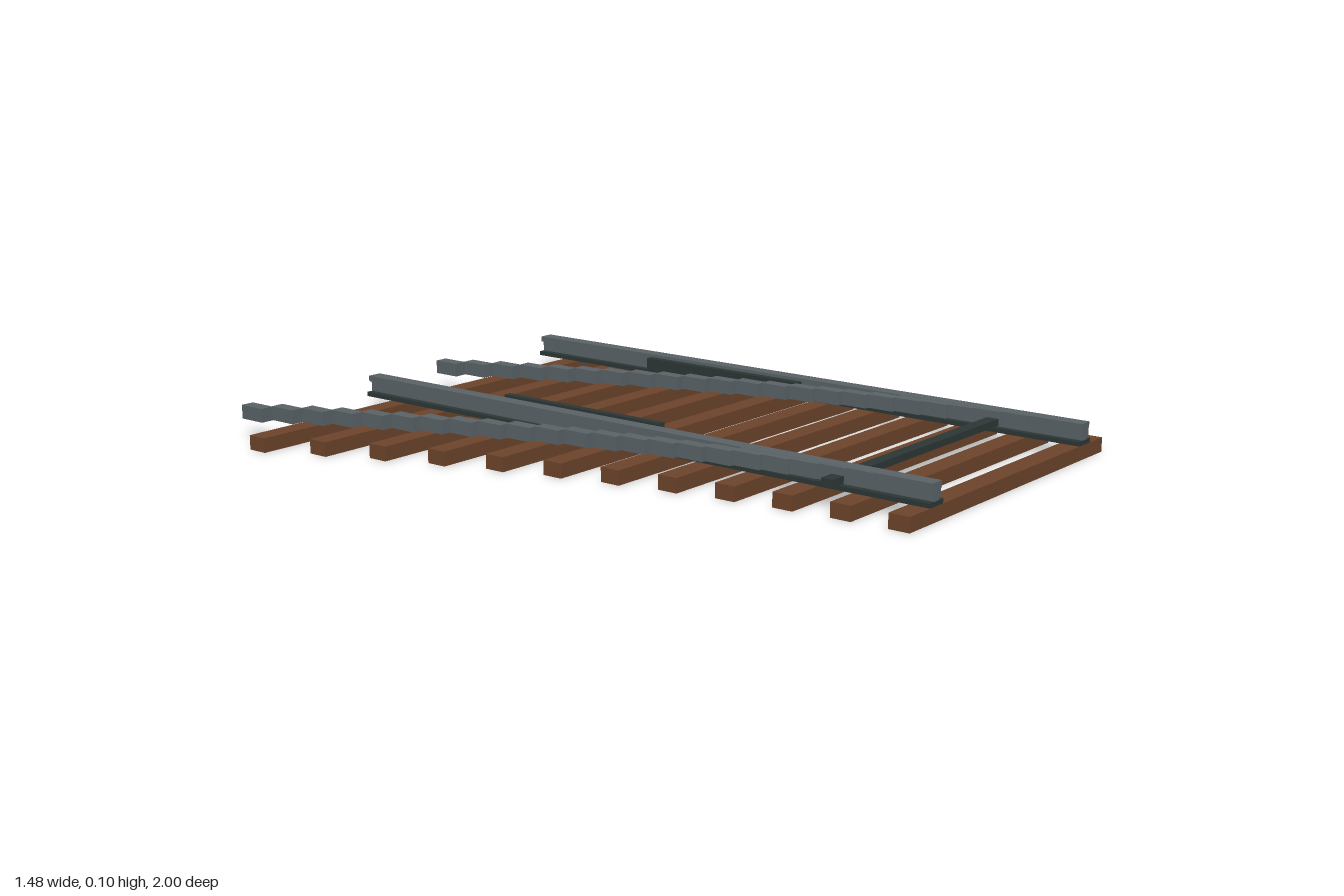
import * as THREE from 'three';

export function createModel() {
  const model = new THREE.Group();
  model.name = 'railwaySwitch';

  const mat = (name, color) => {
    const m = new THREE.MeshStandardMaterial({ color });
    m.name = name;
    return m;
  };
  const wood = mat('sleeperBrown', 0x6b432a);
  const steel = mat('railGrey', 0x596165);
  const dark = mat('darkSteel', 0x2b3634);

  // Box given by its minimum and maximum on each axis
  const box = (parent, name, material, x0, x1, y0, y1, z0, z1) => {
    const mesh = new THREE.Mesh(new THREE.BoxGeometry(x1 - x0, y1 - y0, z1 - z0), material);
    mesh.position.set((x0 + x1) / 2, (y0 + y1) / 2, (z0 + z1) / 2);
    mesh.name = name;
    parent.add(mesh);
  };
  const group = (name) => {
    const g = new THREE.Group();
    g.name = name;
    model.add(g);
    return g;
  };

  // Sleepers grow longer toward the diverging end
  const sleepers = group('sleepers');
  for (let i = 0; i < 12; i++) {
    const t = i / 11;
    const z = 0.969 - i * 0.1667;
    const left = -0.283 - 0.416 * t * t - 0.044 * t;
    box(sleepers, 'sleeper', wood, left, 0.738, 0, 0.042, z - 0.031, z + 0.031);
  }

  const railXs = [-0.159, 0.632];
  for (const x of railXs) {
    // Straight rail: foot, web and head
    const rail = group('straightRail');
    box(rail, 'railFoot', dark, x - 0.0315, x + 0.0315, 0.042, 0.055, -1, 1);
    box(rail, 'railWeb', steel, x - 0.012, x + 0.012, 0.055, 0.087, -1, 1);
    box(rail, 'railHead', steel, x - 0.022, x + 0.022, 0.087, 0.104, -1, 1);

    // Diverging rail made of short stepped blocks
    const curve = group('divergingRail');
    const count = 24;
    const step = 2 / count;
    for (let i = 0; i < count; i++) {
      const t = (i + 0.5) / count;
      const cx = x - 0.508 * t * t - 0.014 * t;
      const cz = 1 - (i + 0.5) * step;
      box(curve, 'railBlock', steel, cx - 0.02, cx + 0.02, 0.063, 0.1035,
        Math.max(-1, cz - 0.0435), Math.min(1, cz + 0.0435));
    }
  }

  // Guard rails beside the running rails
  for (const x of [-0.097, 0.57]) {
    box(model, 'guardRail', dark, x - 0.011, x + 0.011, 0.063, 0.103, -0.503, 0.08);
  }

  // Throw bar across both rails
  box(model, 'throwBar', dark, -0.24, 0.675, 0.063, 0.083, 0.709, 0.746);

  return model;
}
